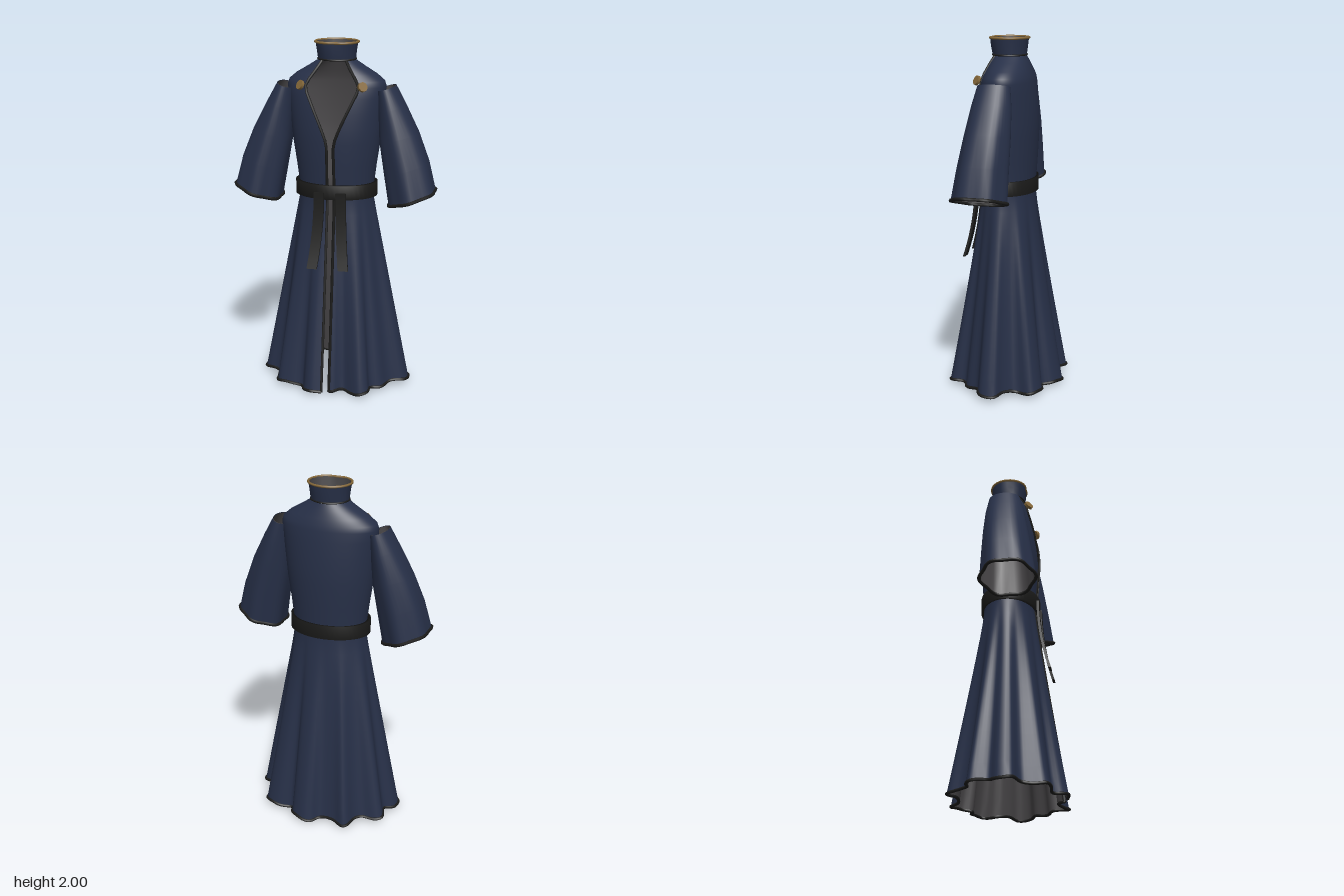
import * as THREE from 'three';

const mat = (name, color) => Object.assign(new THREE.MeshStandardMaterial({ color }), { name });
const V = (x, y, z) => new THREE.Vector3(x, y, z);

// Skin over rows of points, listed top to bottom and front -> left -> back -> right
function loft(rows, closed, inward = false) {
  const n = rows[0].length, pos = [], idx = [];
  rows.forEach(r => r.forEach(p => pos.push(p.x, p.y, p.z)));
  for (let i = 0; i < rows.length - 1; i++) {
    for (let j = 0; j < (closed ? n : n - 1); j++) {
      const a = i * n + j, b = i * n + (j + 1) % n, c = a + n, d = b + n;
      if (inward) idx.push(a, d, c, a, b, d);
      else idx.push(a, c, d, a, d, b);
    }
  }
  const g = new THREE.BufferGeometry();
  g.setAttribute('position', new THREE.Float32BufferAttribute(pos, 3));
  g.setIndex(idx);
  g.computeVertexNormals();
  return g;
}

// Inner skin, set slightly inside the cloth
function innerLoft(rows, closed) {
  const g = loft(rows, closed, true), p = g.attributes.position, n = g.attributes.normal;
  for (let i = 0; i < p.count; i++) {
    p.setXYZ(i, p.getX(i) + n.getX(i) * .005, p.getY(i) + n.getY(i) * .005, p.getZ(i) + n.getZ(i) * .005);
  }
  return g;
}

// Oval ring at one height, with half width a, front and back depth, and a front gap
function oval(n, y, a, zf, zb, gap = 0, closed = true) {
  const t0 = Math.asin(gap / a), cz = (zf + zb) / 2, b = (zf - zb) / 2;
  return Array.from({ length: n }, (_, j) => {
    const t = closed ? (j / n) * Math.PI * 2 : t0 + (j / (n - 1)) * (Math.PI * 2 - 2 * t0);
    return V(a * Math.sin(t), y, cz + b * Math.cos(t));
  });
}

export function createModel() {
  const root = new THREE.Group();
  root.name = 'robe';
  const cloth = mat('navy cloth', 0x273048);
  const lining = mat('grey lining', 0x484648);
  const black = mat('black trim', 0x1b1b1a);
  const gold = mat('dull gold', 0x86693a);
  for (const m of [cloth, lining, black, gold]) m.side = THREE.DoubleSide;

  const add = (name, geo, m) => {
    const mesh = new THREE.Mesh(geo, m);
    mesh.name = name;
    root.add(mesh);
    return mesh;
  };
  const lined = (name, rows, closed) => {
    add(name, loft(rows, closed), cloth);
    add(name + 'Lining', innerLoft(rows, closed), lining);
  };
  const piping = (name, pts, r, closed, m = black) => add(name,
    new THREE.TubeGeometry(new THREE.CatmullRomCurve3(pts, closed, 'centripetal'), pts.length * 2, r, 6, closed), m);

  // Torso: height, half width, front z, back z, half opening
  const N = 121;
  const torso = [
    [1.895, .105, .085, -.10, .068], [1.86, .16, .10, -.115, .089], [1.82, .228, .116, -.13, .116],
    [1.785, .27, .132, -.142, .139], [1.755, .28, .142, -.148, .149], [1.70, .275, .153, -.155, .127],
    [1.62, .267, .164, -.162, .09], [1.53, .258, .17, -.166, .05], [1.45, .25, .171, -.166, .022],
    [1.32, .23, .163, -.16, .02], [1.2, .215, .152, -.152, .02], [1.13, .212, .148, -.15, .02],
  ].map(r => oval(N, ...r, false));

  // Folded hem line, seen from above, with a gentle rise and fall
  const hem = new THREE.CatmullRomCurve3([
    [.02, .29], [.04, .29], [.09, .25], [.15, .28], [.2, .3], [.24, .27], [.245, .2], [.3, .17], [.34, .1],
    [.42, .06], [.43, -.02], [.36, -.06], [.31, -.12], [.33, -.21], [.24, -.255], [.15, -.235], [.125, -.29],
    [.04, -.33], [0, -.32], [-.04, -.275], [-.13, -.275], [-.21, -.305], [-.245, -.22], [-.28, -.185],
    [-.36, -.175], [-.39, -.15], [-.37, -.06], [-.42, -.01], [-.42, .06], [-.33, .1], [-.315, .16],
    [-.3, .225], [-.225, .245], [-.15, .245], [-.125, .295], [-.08, .322], [-.02, .31],
  ].map(([x, z]) => V(x, 0, z)), false, 'centripetal').getSpacedPoints(N - 1);
  hem.forEach((p, j) => { p.y = .018 + .04 * Math.abs(p.x) + .006 * Math.sin(j * .6); });

  // Skirt blends from the waist oval to the folded hem, flaring in depth
  const waist = torso[torso.length - 1];
  const skirt = Array.from({ length: 13 }, (_, i) => waist.map((p, j) => {
    const q = p.clone().lerp(hem[j], i / 12);
    q.z = THREE.MathUtils.lerp(p.z, hem[j].z, (i / 12) ** 1.08);
    return q;
  }));
  const body = [...torso, ...skirt.slice(1)];
  lined('robeBody', body, false);
  piping('hemTrim', hem, .009, false);
  piping('leftOpeningTrim', body.map(r => r[0]), .0085, false);
  piping('rightOpeningTrim', body.map(r => r[N - 1]), .0085, false);

  // Standing collar with a flattened front
  const collar = [[1.993, .12, .108, -.112], [1.95, .113, .1, -.107], [1.9, .107, .09, -.1]]
    .map(r => oval(16, ...r).map(p => V(p.x, p.y, Math.min(p.z, .096))));
  lined('collar', collar, true);
  piping('collarRim', collar[0], .007, true, gold);
  piping('collarBaseTrim', collar[2], .005, true);

  // Belt: a band with thickness
  add('belt', loft([
    [1.135, .218, .152, -.152], [1.215, .218, .155, -.154], [1.215, .235, .176, -.166],
    [1.135, .235, .174, -.166], [1.135, .218, .152, -.152],
  ].map(r => oval(48, ...r)), true), black);

  for (const s of [1, -1]) {
    const side = s > 0 ? 'left' : 'right';

    // Bell sleeve: inner x, y, outer x, y, front z, back z
    const sleeve = [
      [.235, 1.735, .335, 1.765, .10, -.082], [.243, 1.62, .393, 1.66, .125, -.095],
      [.252, 1.46, .47, 1.51, .152, -.1], [.283, 1.28, .532, 1.35, .178, -.1],
      [.315, 1.105, .572, 1.19, .2, -.1],
    ].map(([ix, iy, ox, oy, zf, zb], i) => Array.from({ length: 36 }, (_, j) => {
      const t = j / 36 * Math.PI * 2, k = 1 + .012 * i * Math.cos(6 * t);
      const w = k * Math.sin(s * t), c = k * Math.cos(t);
      return V(s * ((ix + ox) / 2 + (ox - ix) / 2 * w), (iy + oy) / 2 + (oy - iy) / 2 * w,
        (zf + zb) / 2 + (zf - zb) / 2 * c);
    }));
    // The mirrored sleeve keeps the same front -> left -> back -> right order
    const ordered = s > 0 ? sleeve : sleeve.map(r => r.slice());
    lined(side + 'Sleeve', ordered, true);
    piping(side + 'CuffTrim', sleeve[4], .01, true);

    // Hanging belt end, swinging outward and forward
    const tie = new THREE.BoxGeometry(.058, .43, .014, 1, 10, 1);
    const p = tie.attributes.position;
    for (let i = 0; i < p.count; i++) {
      const f = .5 - p.getY(i) / .43;
      p.setXYZ(i, p.getX(i) + s * (.062 + .028 * f * f), p.getY(i) + .96, p.getZ(i) + .172 + .066 * f * f);
    }
    tie.computeVertexNormals();
    add(side + 'BeltTie', tie, black);

    // Gold shoulder button
    const button = add(side + 'Button', new THREE.CylinderGeometry(.027, .027, .016, 10), gold);
    button.position.set(s * .174, 1.768, .136);
    button.quaternion.setFromUnitVectors(V(0, 1, 0), V(s * .6, .4, .65).normalize());
  }
  return root;
}
